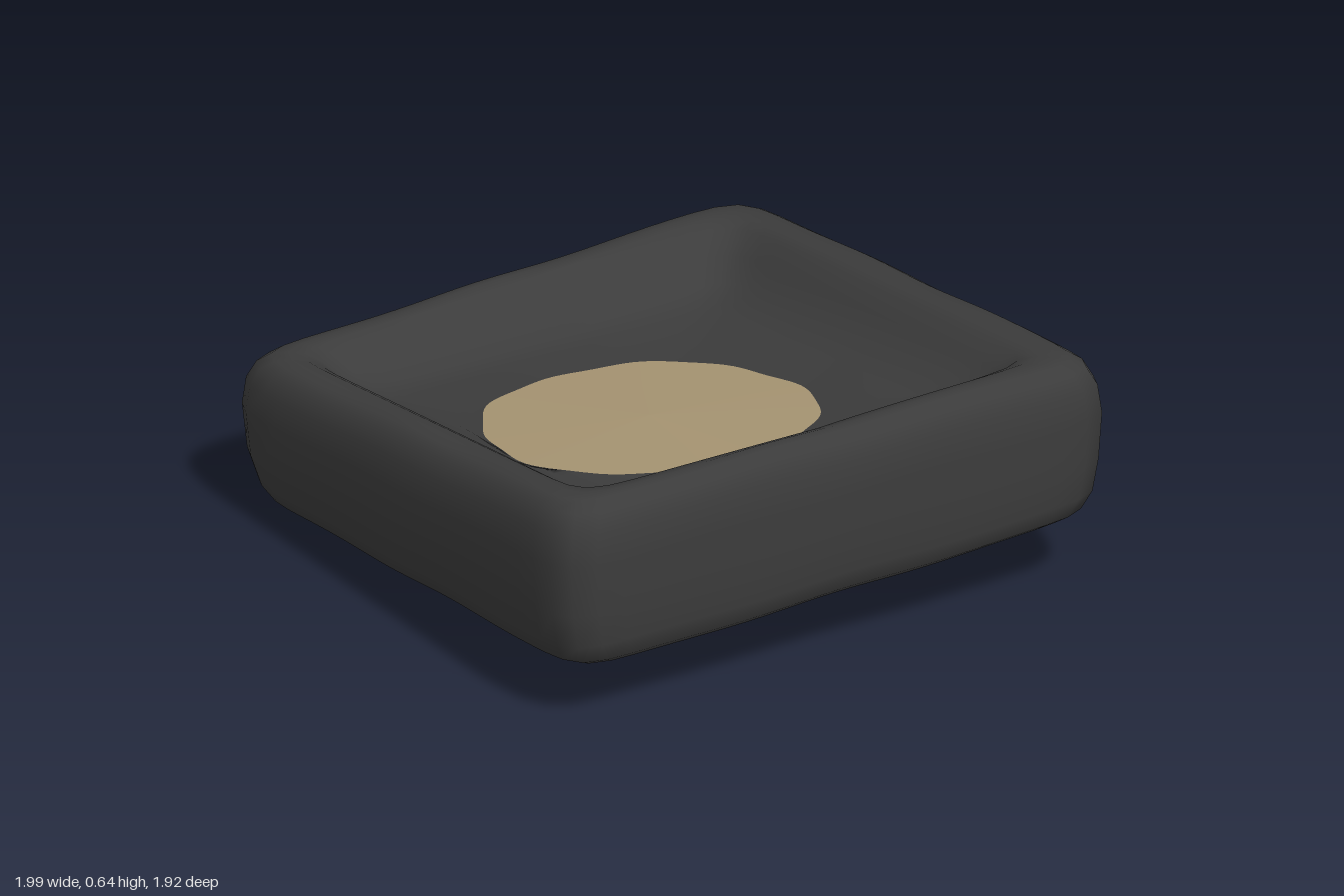
import * as THREE from 'three';

const N = 112; // points around each loop

// Four corners of the tilted, turned bed: back right, back left, front left, front right
const CORNERS = [[-1.03, -0.59], [0.475, -0.995], [1.035, 0.495], [-0.58, 0.99]];
const TOP = [0.43, 0.51, 0.645, 0.65];
const BOTTOM = [0.03, 0.16, 0.2, 0.17];
const FLOOR = [0.33, 0.33, 0.52, 0.5];

// Blend four corner values over the square, u and v from -1 to 1
function blend(c, u, v) {
  const a = (1 + u) / 2, b = (1 + v) / 2;
  return (c[0] * (1 - a) + c[1] * a) * (1 - b) + (c[3] * (1 - a) + c[2] * a) * b;
}
const mix = (a, b, t) => a + (b - a) * t;
const XS = CORNERS.map((c) => c[0]), ZS = CORNERS.map((c) => c[1]);

// Loop with rounded corners, scaled and shifted forward by dv; heightAt(u, v, angle) gives y
function squareLoop(scale, dv, heightAt) {
  const points = [];
  for (let i = 0; i < N; i++) {
    const t = (i / N) * Math.PI * 2;
    const c = Math.cos(t), s = Math.sin(t);
    const r = scale / Math.pow(Math.abs(c) ** 16 + Math.abs(s) ** 16, 1 / 16);
    const u = c * r, v = s * r + dv;
    points.push([blend(XS, u, v), heightAt(u, v, t), blend(ZS, u, v)]);
  }
  return points;
}

// Slightly uneven round outline of the cushion
function cushionLoop(scale) {
  const points = [];
  for (let i = 0; i < N; i++) {
    const t = (i / N) * Math.PI * 2;
    const angle = t - 0.26;
    const r = scale * (0.43 + 0.007 * Math.sin(5 * t) + 0.005 * Math.sin(11 * t + 1));
    const x = -0.09 + r * Math.cos(angle), z = 0.06 + r * Math.sin(angle);
    points.push([x, 0.415 + 0.13 * z + 0.01 * x + 0.01 * (1 - scale), z]);
  }
  return points;
}

// Skin consecutive rows of points, joining the row ends when closed
function loft(rows, closed = true) {
  const n = rows[0].length, index = [];
  for (let k = 0; k < rows.length - 1; k++) {
    for (let i = 0; i < (closed ? n : n - 1); i++) {
      const a = k * n + i, b = k * n + ((i + 1) % n);
      index.push(a, a + n, b, b, a + n, b + n);
    }
  }
  const g = new THREE.BufferGeometry();
  g.setAttribute('position', new THREE.Float32BufferAttribute(rows.flat(2), 3));
  g.setIndex(index);
  g.computeVertexNormals();
  return g;
}

export function createModel() {
  const group = new THREE.Group();
  const fabric = new THREE.MeshStandardMaterial({ color: 0x3c3c3c, side: THREE.DoubleSide });
  fabric.name = 'darkFabric';
  const tan = new THREE.MeshStandardMaterial({ color: 0xa99774, side: THREE.DoubleSide });
  tan.name = 'tanCushion';

  const add = (name, geometry, material) => {
    const mesh = new THREE.Mesh(geometry, material);
    mesh.name = name;
    group.add(mesh);
  };

  // Padded wall, open underneath: [scale, share of the height from bottom to top, forward shift]
  const wall = [
    [0.9, 0, 0.04], [0.94, 0.04, 0.03], [0.97, 0.15, 0.02], [0.99, 0.35, 0.005], [1, 0.65, 0],
    [0.99, 0.83, 0], [0.965, 0.94, 0], [0.93, 0.99, 0], [0.89, 1, 0],
  ].map(([scale, h, dv]) => squareLoop(scale, dv, (u, v, t) =>
    mix(blend(BOTTOM, u, v), blend(TOP, u, v), h) + 0.003 * Math.sin(9 * t + h * 4)));

  // Rim falling into the sunken floor: [scale, share of the drop, groove at front and back];
  // the sides slope more gently, most of all on the left
  const inside = [
    [0.85, 0.08, 0], [0.81, 0.3, 0.005], [0.76, 0.62, 0.025], [0.7, 0.85, 0.035], [0.6, 1, 0.015],
  ].map(([scale, d, groove]) => squareLoop(scale, 0, (u, v) => {
    const ease = 1 + 1.3 * Math.max(0, u) + 0.5 * Math.max(0, -u);
    return mix(blend(TOP, u, v), blend(FLOOR, u, v), d ** ease)
      - groove * v * v * (1 - u * u) * (1 - 0.6 * u);
  }));

  add('paddedBedBody', loft([...wall, ...inside, cushionLoop(1.02), cushionLoop(1)]), fabric);

  // Ragged flap folded in under the back wall
  const flapEdge = [
    [-0.8, 0.06, -0.3], [-0.48, 0.0, -0.5], [-0.2, 0.1, -0.55],
    [0.12, 0.02, -0.6], [0.48, 0.1, -0.6], [0.68, 0.2, -0.4],
  ];
  const flapRoot = [-0.9, -0.5, -0.12, 0.3, 0.7, 0.88].map((u) =>
    [blend(XS, u, -0.86), blend(BOTTOM, u, -0.86), blend(ZS, u, -0.86)]);
  add('raggedFlap', loft([flapEdge, flapRoot], false).toNonIndexed(), fabric);

  // Round cushion in the floor
  add('roundCushion', loft([cushionLoop(1), cushionLoop(0.6), cushionLoop(0)]), tan);
  return group;
}
